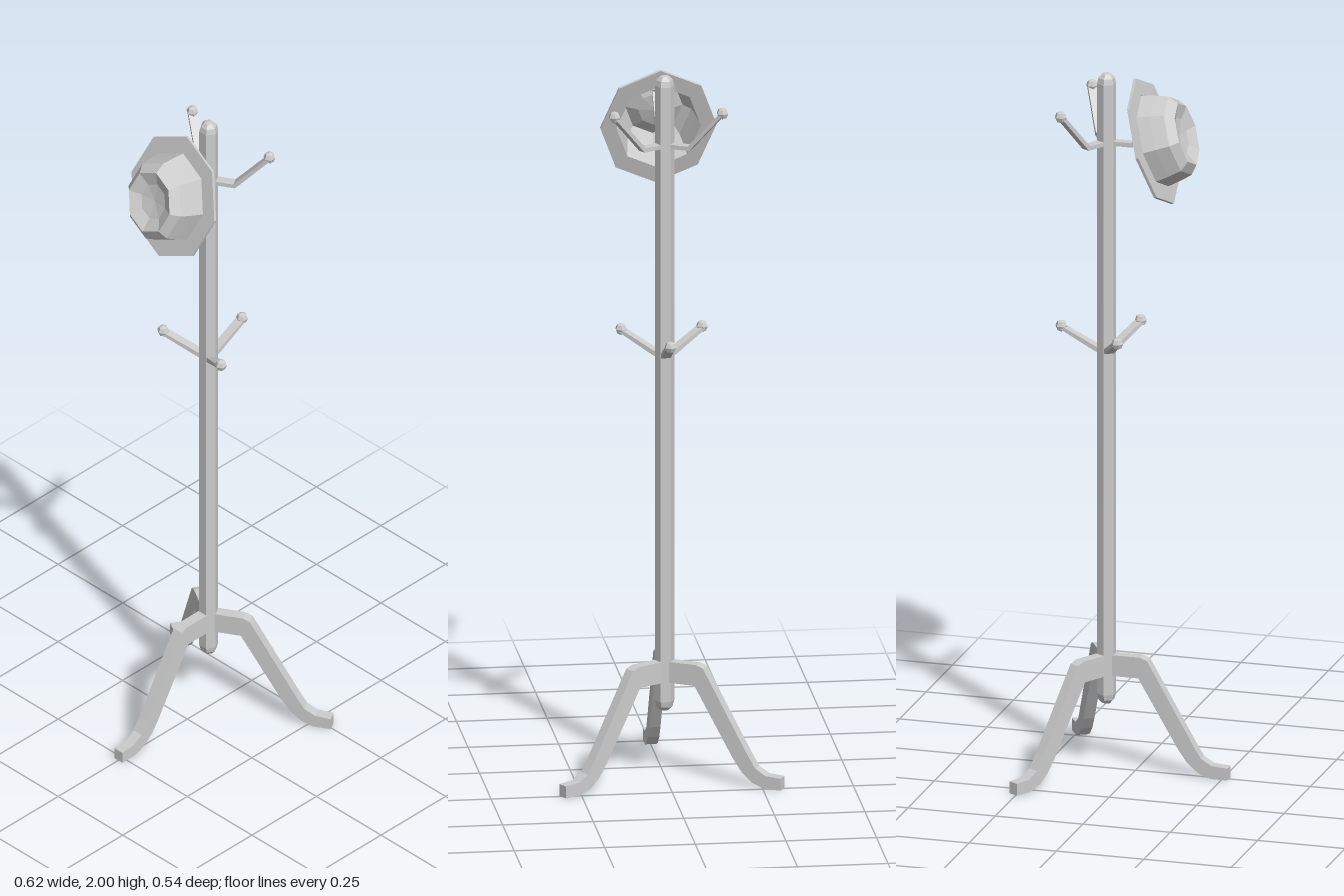
import * as THREE from 'three';

const mat = new THREE.MeshStandardMaterial({ color: 0xcccccc, flatShading: true, side: THREE.DoubleSide });
const POLE_Z = -0.083;

function add(parent, name, geometry) {
  const mesh = new THREE.Mesh(geometry, mat);
  mesh.name = name;
  parent.add(mesh);
  return mesh;
}

const points = (list) => list.map(([x, y]) => new THREE.Vector2(x, y));

// Side outline (x = distance from the pole) extruded to a flat strip of the given width
function strip(outline, width) {
  const geometry = new THREE.ExtrudeGeometry(new THREE.Shape(points(outline)), { depth: width, bevelEnabled: false });
  return geometry.translate(0, 0, -width / 2);
}

// Group at the pole axis whose local +x points outwards at an angle measured from the front
function spoke(parent, name, angle) {
  const group = new THREE.Group();
  group.name = name;
  group.position.z = POLE_Z;
  group.rotation.y = angle - Math.PI / 2;
  parent.add(group);
  return group;
}

export function createModel() {
  const model = new THREE.Group();
  model.name = 'coatStand';

  // Six-sided pole with rounded ends
  const pole = add(model, 'pole', new THREE.LatheGeometry(points([
    [0, 0.185], [0.013, 0.188], [0.023, 0.199], [0.027, 0.215],
    [0.027, 1.97], [0.023, 1.986], [0.013, 1.997], [0, 2],
  ]), 6));
  pole.position.z = POLE_Z;
  pole.rotation.y = Math.PI / 6;

  const legOutline = [
    [0, 0.27], [0.095, 0.27], [0.21, 0.075], [0.235, 0.04], [0.265, 0.014], [0.3, 0], [0.35, 0],
    [0.35, 0.034], [0.305, 0.037], [0.275, 0.055], [0.253, 0.09], [0.133, 0.3], [0.12, 0.322], [0.1, 0.33], [0, 0.33],
  ];
  const upperOutline = [[0, 1.795], [0.078, 1.795], [0.176, 1.905], [0.168, 1.912], [0.073, 1.807], [0, 1.807]];
  const lowerOutline = [[0, 1.19], [0.03, 1.2], [0.13, 1.254], [0.126, 1.263], [0.026, 1.213], [0, 1.205]];

  for (let i = 0; i < 3; i++) {
    const angle = (i * 2 * Math.PI) / 3;

    // Splayed legs
    add(spoke(model, 'legSpoke', angle), 'leg', strip(legOutline, 0.031));

    // Bent upper hooks above the legs
    const upper = spoke(model, 'upperHook', angle);
    add(upper, 'upperHookArm', strip(upperOutline, 0.026));
    add(upper, 'upperHookKnob', new THREE.SphereGeometry(0.017, 6, 4)).position.set(0.172, 1.91, 0);

    // Straight lower hooks between the legs
    const lower = spoke(model, 'lowerHook', angle + Math.PI / 3);
    add(lower, 'lowerHookArm', strip(lowerOutline, 0.026));
    add(lower, 'lowerHookKnob', new THREE.SphereGeometry(0.017, 6, 4)).position.set(0.129, 1.26, 0);
  }

  // Eight-sided oval hat hanging on the front hook, hollow at the back
  const hat = new THREE.Group();
  hat.name = 'hat';
  hat.position.set(0, 1.815, 0.052);
  hat.rotation.x = 1.27;
  hat.scale.x = 0.875;
  model.add(hat);
  add(hat, 'hatBrim', new THREE.LatheGeometry(points([
    [0.133, -0.004], [0.183, -0.004], [0.183, 0.004], [0.133, 0.004], [0.133, -0.004],
  ]), 8));
  add(hat, 'hatCrown', new THREE.LatheGeometry(points([
    [0.133, 0], [0.125, 0.04], [0.115, 0.078], [0.09, 0.1], [0.052, 0.083], [0, 0.077],
  ]), 8));

  return model;
}
